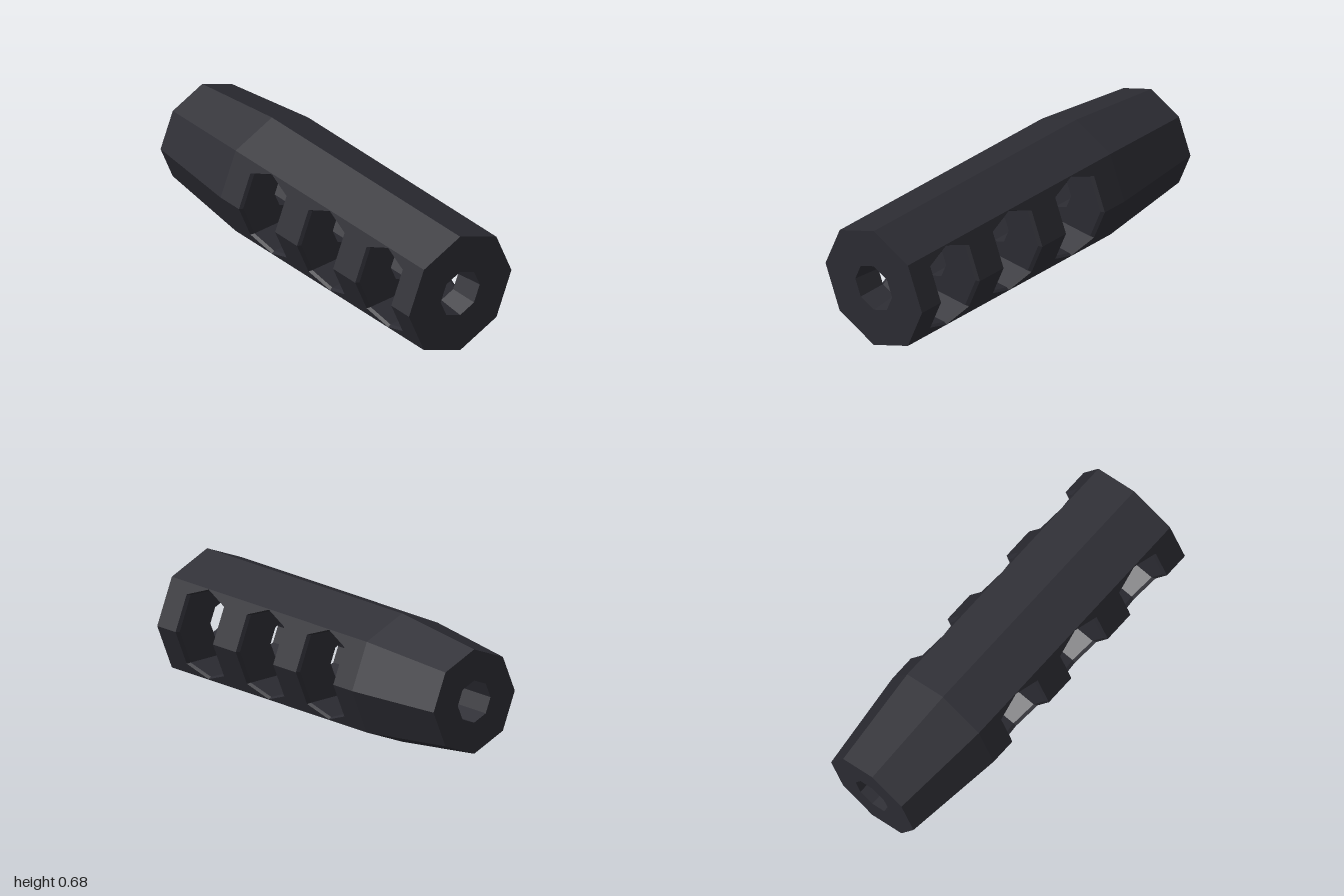
import * as THREE from 'three';

const R = 0.338, NOSE_R = 0.275, BORE_R = 0.111, MOUTH_R = 0.129;
const NOSE_X = -0.46;
const K = Math.tan(Math.PI / 8);           // slope of the side facets
const RIM_Y = R * Math.SQRT1_2;            // height of the upper and lower facet edge
const PORTS = [-0.178, 0.272, 0.723];
const OUTER = { w: 0.14, h1: 0.183, h2: 0.236, inset: 0 };      // port rim
const INNER = { w: 0.13, h1: 0.178, h2: 0.227, inset: 0.02 };   // port below its bevel

const V = (x, y, z) => new THREE.Vector3(x, y, z);
const P = (x, y) => new THREE.Vector2(x, y);
const corner = (x, r, i) => V(x, r * Math.sin(i * Math.PI / 4), r * Math.cos(i * Math.PI / 4));
const sideZ = (y) => R - K * Math.abs(y);

// Collects flat triangles, each turned to face along dir
class Faces {
  constructor() { this.points = []; }
  tri(a, b, c, dir) {
    const n = b.clone().sub(a).cross(c.clone().sub(a));
    this.points.push(...(n.dot(dir) < 0 ? [a, c, b] : [a, b, c]));
  }
  quad(a, b, c, d, dir) {
    this.tri(a, b, c, dir);
    this.tri(a, c, d, dir);
  }
  patch(contour, holes, map, dir) {
    const all = [contour, ...holes].flat().map(map);
    for (const [a, b, c] of THREE.ShapeUtils.triangulateShape(contour, holes)) {
      this.tri(all[a], all[b], all[c], dir);
    }
  }
  // Octagonal sleeve; sign 1 faces outward, -1 faces the axis
  sleeve(x0, r0, x1, r1, sign, sides = [0, 1, 2, 3, 4, 5, 6, 7]) {
    for (const i of sides) {
      this.quad(corner(x0, r0, i), corner(x0, r0, i + 1), corner(x1, r1, i + 1), corner(x1, r1, i),
        corner(0, sign, i + 0.5));
    }
  }
  mesh(name, material) {
    const geometry = new THREE.BufferGeometry().setFromPoints(this.points);
    geometry.computeVertexNormals();
    const mesh = new THREE.Mesh(geometry, material);
    mesh.name = name;
    return mesh;
  }
}

const octagon = (r) => Array.from({ length: 8 }, (_, i) => {
  const p = corner(0, r, i);
  return P(p.z, p.y);
});

// Port outline, including the points on the side ridge
const portOutline = (c, { w, h1, h2 }) => [
  P(c - w, 0), P(c - w, h1), P(c, h2), P(c + w, h1),
  P(c + w, 0), P(c + w, -h1), P(c, -h2), P(c - w, -h1),
];

export function createModel() {
  const group = new THREE.Group();
  const metal = new THREE.MeshStandardMaterial({ color: 0x2c2c33 });
  metal.name = 'darkMetal';
  const body = new THREE.Group();
  body.name = 'body';
  body.position.y = R;
  group.add(body);

  // Tapered nose, plain upper and lower facets
  const nose = new Faces();
  nose.sleeve(-1, NOSE_R, NOSE_X, R, 1);
  body.add(nose.mesh('taperedNose', metal));
  const plain = new Faces();
  plain.sleeve(NOSE_X, R, 1, R, 1, [1, 2, 5, 6]);
  body.add(plain.mesh('plainFacets', metal));

  // Side facets, notched by half of each port
  const half = [P(NOSE_X, 0)];
  for (const c of PORTS) half.push(...portOutline(c, OUTER).slice(0, 5));
  half.push(P(1, 0), P(1, RIM_Y), P(NOSE_X, RIM_Y));
  const sides = new Faces();
  for (const sy of [1, -1]) {
    for (const sz of [1, -1]) {
      sides.patch(half, [], (p) => V(p.x, sy * p.y, sz * sideZ(p.y)), V(0, sy * K, sz));
    }
  }
  body.add(sides.mesh('portedFacets', metal));

  // End faces around the bore
  for (const [name, x, r, hole] of [['noseFace', -1, NOSE_R, BORE_R], ['mouthFace', 1, R, MOUTH_R]]) {
    const end = new Faces();
    end.patch(octagon(r), [octagon(hole)], (p) => V(x, p.y, p.x), V(x, 0, 0));
    body.add(end.mesh(name, metal));
  }

  // Hexagonal ports running through from front to back
  const { w, h1, inset } = INNER;
  const innerZ = (y) => sideZ(y) - inset;
  const wall = [
    P(innerZ(h1), h1), P(innerZ(0), 0), P(innerZ(h1), -h1),
    P(-innerZ(h1), -h1), P(-innerZ(0), 0), P(-innerZ(h1), h1),
  ];
  PORTS.forEach((c, n) => {
    const port = new Faces();
    const rim = portOutline(c, OUTER), inner = portOutline(c, INNER);
    for (let i = 0; i < 8; i++) {
      const j = (i + 1) % 8;
      const toAxis = V(c - (inner[i].x + inner[j].x) / 2, -(inner[i].y + inner[j].y) / 2, 0);
      const at = (p, s, d) => V(p.x, p.y, s * (sideZ(p.y) - d));
      // Bevel on both sides
      for (const s of [1, -1]) {
        port.quad(at(rim[i], s, 0), at(rim[j], s, 0), at(inner[j], s, inset), at(inner[i], s, inset), toAxis);
      }
      // Sloped roof and floor
      if ([1, 2, 5, 6].includes(i)) {
        port.quad(at(inner[i], 1, inset), at(inner[j], 1, inset),
          at(inner[j], -1, inset), at(inner[i], -1, inset), toAxis);
      }
    }
    // Upright walls pierced by the bore
    for (const s of [1, -1]) {
      port.patch(wall, [octagon(BORE_R)], (p) => V(c + s * w, p.y, p.x), V(-s, 0, 0));
    }
    body.add(port.mesh('port' + (n + 1), metal));
  });

  // Bore sections between the ports, flaring at the mouth
  const bore = new Faces();
  let start = -1;
  for (const c of PORTS) {
    bore.sleeve(start, BORE_R, c - w, BORE_R, -1);
    start = c + w;
  }
  bore.sleeve(start, BORE_R, 1, MOUTH_R, -1);
  body.add(bore.mesh('bore', metal));

  return group;
}
